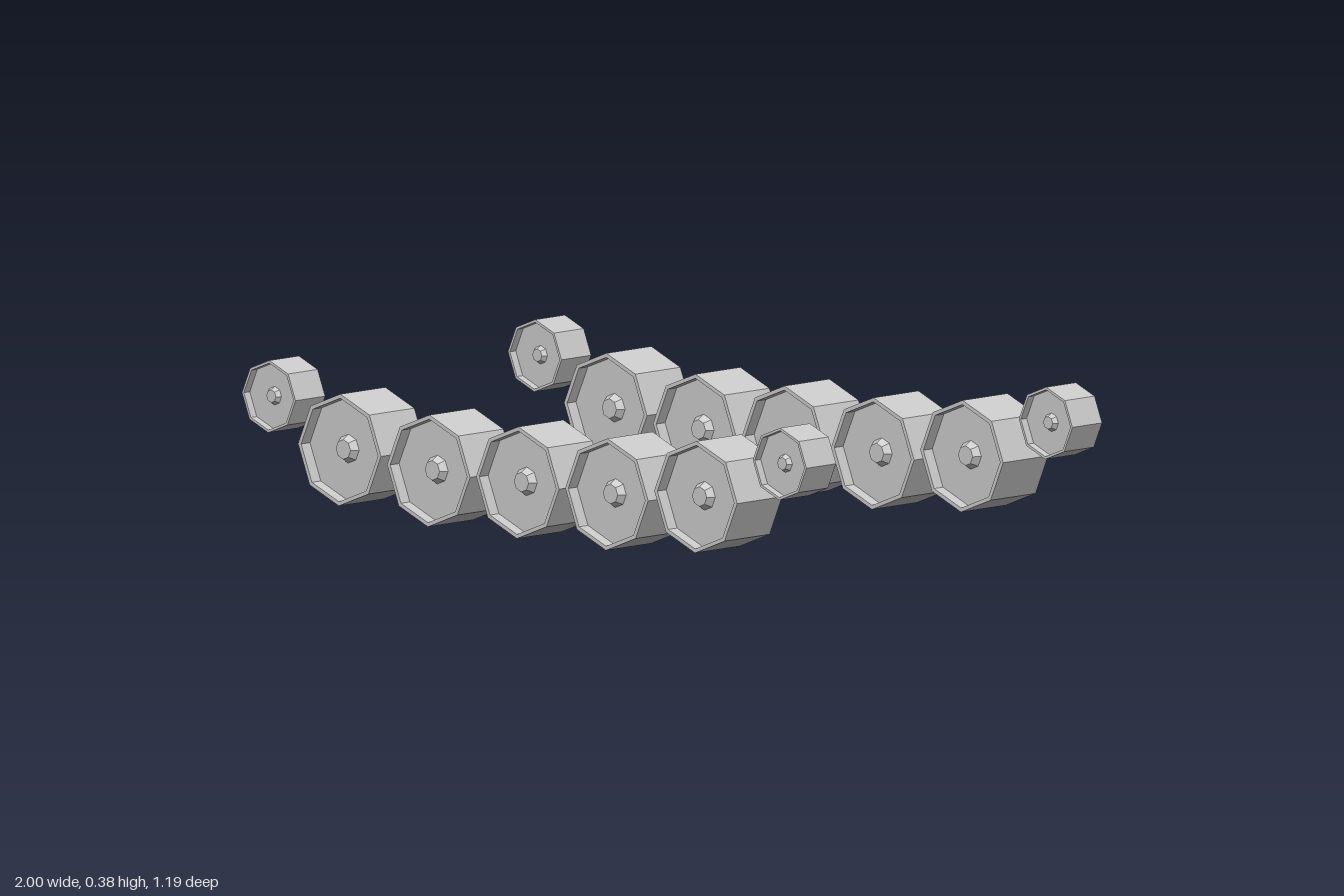
import * as THREE from 'three';

const material = new THREE.MeshStandardMaterial({ color: 0xcccccc, flatShading: true });

// Octagonal wheel: thin rim, recessed disc and tapered hub on both faces
function wheelGeometry() {
  const half = [
    [0.147, 0.086], // outer rim edge
    [0.136, 0.086], // inner rim edge
    [0.136, 0.052], // recessed disc
    [0.038, 0.052], // hub base
    [0.026, 0.072], // hub top
    [0, 0.072],
  ];
  const lower = half.map(([r, y]) => new THREE.Vector2(r, -y)).reverse();
  const upper = half.map(([r, y]) => new THREE.Vector2(r, y));
  const geometry = new THREE.LatheGeometry([...lower, ...upper], 8);
  geometry.rotateX(Math.PI / 2);
  geometry.rotateZ(-0.018);
  return geometry;
}

export function createModel() {
  const model = new THREE.Group();
  const geometry = wheelGeometry();

  function addWheel(parent, name, x, y, scale = 1) {
    const wheel = new THREE.Mesh(geometry, material);
    wheel.name = name;
    wheel.position.set(x, y, 0);
    wheel.scale.set(scale, scale, scale * (scale < 1 ? 1.02 : 1));
    parent.add(wheel);
  }

  for (const side of [1, -1]) {
    const row = new THREE.Group();
    row.name = side > 0 ? 'frontWheelRow' : 'backWheelRow';
    row.position.z = side * 0.508;

    // Five road wheels, the two outer ones slightly raised
    for (let i = -2; i <= 2; i++) {
      addWheel(row, 'roadWheel' + (i + 3), 0.004 + i * 0.3155, Math.abs(i) === 2 ? 0.172 : 0.148);
    }
    // Small raised wheels at both ends
    addWheel(row, 'rightEndWheel', -0.905, 0.282, 0.646);
    addWheel(row, 'leftEndWheel', 0.905, 0.282, 0.646);
    model.add(row);
  }
  return model;
}
